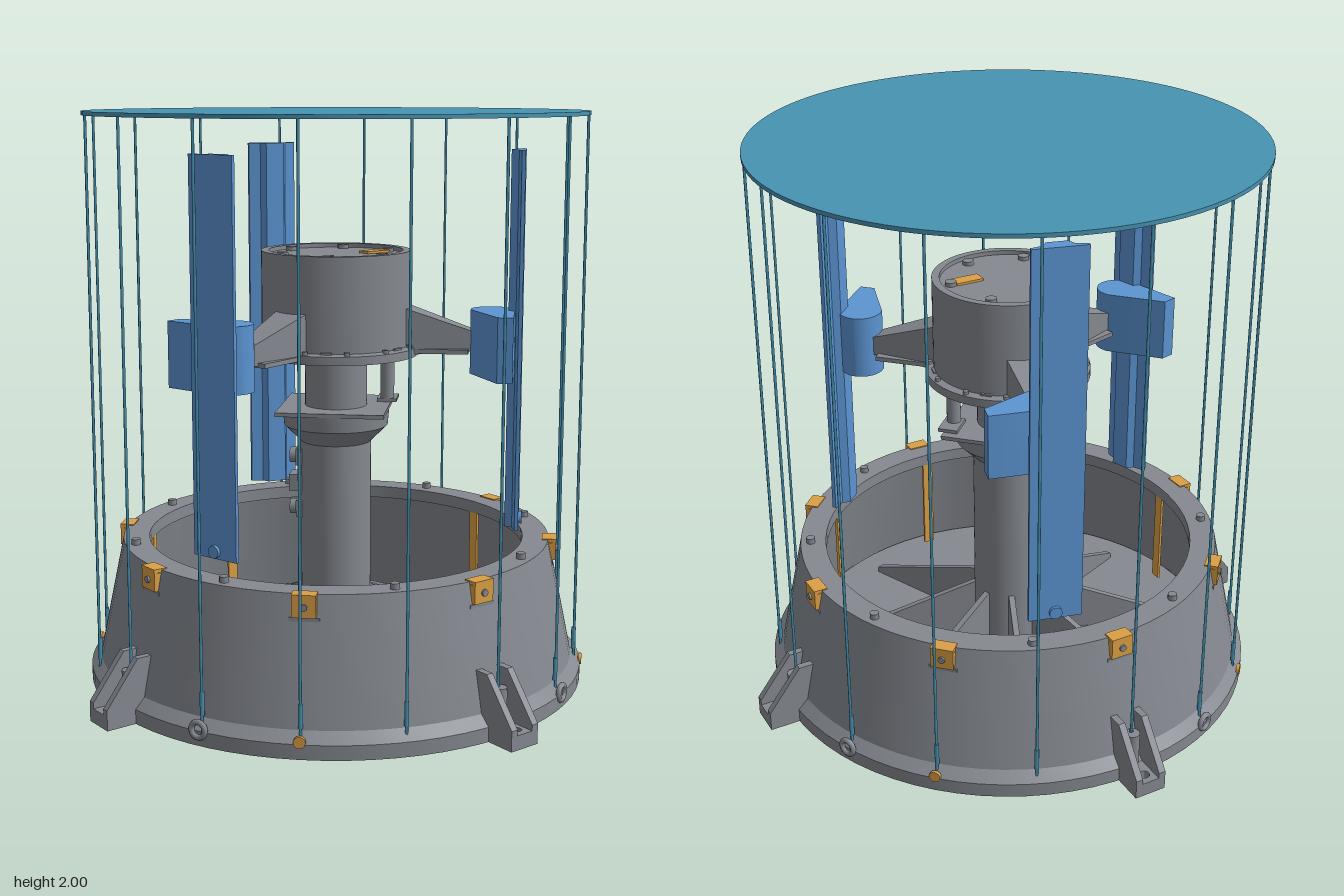
import * as THREE from 'three';
import { toCreasedNormals } from 'three/addons/utils/BufferGeometryUtils.js';

const material = (name, color, side = THREE.FrontSide) => {
  const m = new THREE.MeshStandardMaterial({ color, side });
  m.name = name;
  return m;
};

export function createModel() {
  const model = new THREE.Group();
  model.name = 'verticalRotorTurbine';
  const grey = material('grey', 0x858990);
  const blue = material('blue', 0x5b94d2);
  const gold = material('gold', 0xdb9f45);
  const teal = material('teal', 0x4793b2);

  // ---- helpers ----
  const add = (parent, name, geometry, mat, x = 0, y = 0, z = 0) => {
    const mesh = new THREE.Mesh(geometry, mat);
    mesh.name = name;
    mesh.position.set(x, y, z);
    parent.add(mesh);
    return mesh;
  };
  const box = (w, h, d) => new THREE.BoxGeometry(w, h, d);
  const rod = (r, h, n = 24) => new THREE.CylinderGeometry(r, r, h, n);
  const lathe = (pts, n = 72) => toCreasedNormals(
    new THREE.LatheGeometry(pts.map(p => new THREE.Vector2(...p)), n), 0.5);
  const shapeOf = pts => new THREE.Shape(pts.map(p => new THREE.Vector2(...p)));
  // plan outline in x/z, raised from y0 to y1
  const raise = (shape, y0, y1) => {
    const g = new THREE.ExtrudeGeometry(shape, { depth: y1 - y0, bevelEnabled: false, curveSegments: 24 });
    return toCreasedNormals(g.rotateX(Math.PI / 2).translate(0, y1, 0), 0.6);
  };
  // side profile in x/y, given thickness across z
  const fin = (pts, t) => new THREE.ExtrudeGeometry(shapeOf(pts), { depth: t, bevelEnabled: false })
    .translate(0, 0, -t / 2);
  // groups whose local +x points outward, spread evenly about the axis
  const around = (name, count, startDeg, build) => {
    for (let i = 0; i < count; i++) {
      const g = new THREE.Group();
      g.name = name;
      g.rotation.y = -(startDeg * Math.PI / 180 + i * 2 * Math.PI / count);
      build(g, i);
      model.add(g);
    }
  };

  // ---- base housing ----
  add(model, 'baseHousing', lathe([
    [0.80, 0], [0.885, 0], [0.885, 0.05], [0.85, 0.085], [0.845, 0.11], [0.762, 0.505],
    [0.67, 0.505], [0.67, 0.46], [0.71, 0.45], [0.79, 0.05], [0.80, 0.05], [0.80, 0]]), grey);
  add(model, 'baseFloor', rod(0.77, 0.012, 64), grey, 0, 0.062, 0);
  add(model, 'lowerStepRing', lathe([[0.69, 0.02], [0.74, 0.02], [0.74, 0.06], [0.69, 0.06], [0.69, 0.02]]), grey);
  add(model, 'hubDisc', rod(0.225, 0.05, 48), grey, 0, 0.035, 0);
  add(model, 'floorBox', box(0.1, 0.12, 0.1), grey, -0.12, 0.13, -0.42);

  around('floorRib', 8, 22.5, g => {
    add(g, 'upperRib', fin([[0.1, 0.06], [0.66, 0.06], [0.66, 0.09], [0.12, 0.3], [0.1, 0.3]], 0.022), grey);
    add(g, 'lowerRib', box(0.5, 0.04, 0.022), grey, 0.45, 0.04, 0);
  });

  // gold ring underneath with four tabs
  const ring = new THREE.Shape().absarc(0, 0, 0.63, 0, Math.PI * 2);
  ring.holes.push(new THREE.Path().absarc(0, 0, 0.52, 0, Math.PI * 2, true));
  add(model, 'bottomRing', raise(ring, 0.004, 0.018), gold);
  around('bottomRingTab', 4, 67.5, g => add(g, 'tab', box(0.19, 0.014, 0.06), gold, 0.71, 0.011, 0));

  // clips at the rim, with strips running down the inner wall
  around('rimClip', 8, 0, g => {
    add(g, 'clipPlate', box(0.012, 0.07, 0.08), gold, 0.783, 0.468, 0);
    add(g, 'clipTop', box(0.05, 0.012, 0.08), gold, 0.765, 0.503, 0);
    for (const s of [-1, 1]) add(g, 'clipCheek', box(0.04, 0.06, 0.012), gold, 0.768, 0.465, s * 0.034);
    add(g, 'clipBolt', rod(0.012, 0.012, 12), grey, 0.79, 0.468, 0).rotation.z = Math.PI / 2;
    add(g, 'slot', box(0.02, 0.012, 0.1), grey, 0.77, 0.425, 0);
    add(g, 'innerStrip', box(0.01, 0.36, 0.04), gold, 0.675, 0.28, 0);
  });

  // rim studs between the clips
  around('rimStud', 8, 22.5, g => add(g, 'stud', rod(0.016, 0.03, 12), grey, 0.725, 0.51, 0));

  // mounting feet
  around('mountingFoot', 4, 45, g => {
    const plate = shapeOf([[0.8, -0.057], [0.99, -0.057], [0.99, 0.057], [0.8, 0.057]]);
    plate.holes.push(new THREE.Path().absarc(0.95, 0, 0.018, 0, Math.PI * 2, true));
    add(g, 'footPlate', raise(plate, 0, 0.05), grey);
    for (const s of [-1, 1]) {
      add(g, 'footCheek', fin([[0.79, 0], [0.99, 0], [0.99, 0.07], [0.87, 0.225], [0.79, 0.225]], 0.025),
        grey, 0, 0, s * 0.045);
    }
    add(g, 'footPeg', rod(0.025, 0.16, 16), grey, 0.87, 0.09, 0);
  });

  // side ports around the skirt
  around('skirtPort', 4, 22.5, g => {
    const port = add(g, 'portTube', new THREE.TorusGeometry(0.026, 0.01, 8, 24), grey, 0.885, 0.055, 0);
    port.rotation.y = Math.PI / 2;
  });
  around('skirtPin', 4, 0, g => add(g, 'pin', rod(0.02, 0.012, 16), gold, 0.884, 0.058, 0).rotation.z = Math.PI / 2);

  // ---- cage: lid and wires ----
  add(model, 'topDisc', rod(0.87, 0.014, 96), teal, 0, 1.993, 0);
  around('cageWire', 16, 0, g => {
    add(g, 'wire', rod(0.005, 1.93, 8), teal, 0.862, 1.025, 0);
    add(g, 'wireSleeve', rod(0.008, 0.08, 8), teal, 0.86, 0.135, 0);
  });

  // ---- centre column ----
  add(model, 'column', lathe([
    [0, 0.05], [0.125, 0.05], [0.125, 0.84], [0.185, 0.9], [0.19, 0.955], [0, 0.955]], 48), grey);
  add(model, 'squarePlate', box(0.38, 0.014, 0.38), grey, 0, 0.962, 0);
  add(model, 'generator', rod(0.11, 0.17, 40), grey, 0, 1.048, 0);
  add(model, 'shaft', rod(0.06, 0.12, 32), grey, 0, 1.17, 0);
  add(model, 'sideMotor', rod(0.025, 0.155, 20), grey, 0.175, 1.055, -0.085);
  add(model, 'motorTab', box(0.07, 0.012, 0.1), grey, 0.175, 0.975, -0.11);
  for (const y of [0.59, 0.78]) {
    const knob = add(model, 'columnKnob', rod(0.028, 0.06, 16), grey, -0.135, y, 0);
    knob.rotation.z = Math.PI / 2;
    add(model, 'columnClamp', box(0.03, 0.06, 0.09), grey, -0.125, y, 0);
  }
  add(model, 'columnBox', box(0.06, 0.06, 0.08), grey, -0.135, 0.685, 0);

  // ---- rotor drum, open below ----
  add(model, 'rotorDrum', lathe([
    [0.22, 1.155], [0.29, 1.155], [0.29, 1.185], [0.262, 1.19], [0.262, 1.52], [0.235, 1.52],
    [0.235, 1.505], [0, 1.505]], 64), grey);
  add(model, 'drumLining', lathe([[0, 1.49], [0.24, 1.49], [0.24, 1.19], [0.22, 1.155]], 64), grey);
  add(model, 'rotorHub', rod(0.11, 0.05, 32), grey, 0, 1.185, 0);
  around('drumBolt', 6, 30, g => {
    add(g, 'topBolt', rod(0.02, 0.014, 12), grey, 0.2, 1.512, 0);
    add(g, 'hubSpoke', box(0.2, 0.03, 0.04), grey, 0.17, 1.18, 0);
  });
  around('flangeBolt', 12, 15, g => add(g, 'bolt', rod(0.01, 0.016, 8), grey, 0.276, 1.19, 0));
  add(model, 'drumPlate', box(0.1, 0.008, 0.05), gold, 0.13, 1.51, -0.05).rotation.y = Math.PI / 4;

  // ---- three arms, clamps and blades ----
  const bladeOutline = shapeOf([
    [0.655, -0.092], [0.655, 0.092], [0.642, 0.092], [0.632, 0.05], [0.606, 0.035],
    [0.606, -0.035], [0.632, -0.05], [0.642, -0.092]]);
  const clampOutline = new THREE.Shape();
  clampOutline.moveTo(0.628, 0.22);
  clampOutline.lineTo(0.575, 0.22);
  clampOutline.lineTo(0.475, 0.03);
  clampOutline.absarc(0.55, 0.01, 0.075, Math.PI, Math.PI * 2, false);
  clampOutline.lineTo(0.628, 0.02);
  const taper = new THREE.BoxGeometry(0.29, 1, 1);
  const p = taper.attributes.position;
  for (let i = 0; i < p.count; i++) {
    const outer = p.getX(i) > 0, up = p.getY(i) > 0;
    p.setY(i, up ? (outer ? 1.235 : 1.335) : (outer ? 1.175 : 1.16));
    p.setZ(i, Math.sign(p.getZ(i)) * (outer ? 0.03 : 0.07));
  }
  taper.computeVertexNormals();
  around('rotorArm', 3, 0, g => {
    add(g, 'arm', taper, grey, 0.365, 0, 0);
    add(g, 'armFlange', box(0.26, 0.016, 0.13), grey, 0.34, 1.175, 0);
    add(g, 'bladeClamp', raise(clampOutline, 1.095, 1.32), blue);
    add(g, 'blade', raise(bladeOutline, 0.55, 1.87), blue);
    const pin = add(g, 'bladePin', rod(0.022, 0.02, 16), blue, 0.656, 0.575, 0);
    pin.rotation.z = Math.PI / 2;
  });

  return model;
}
